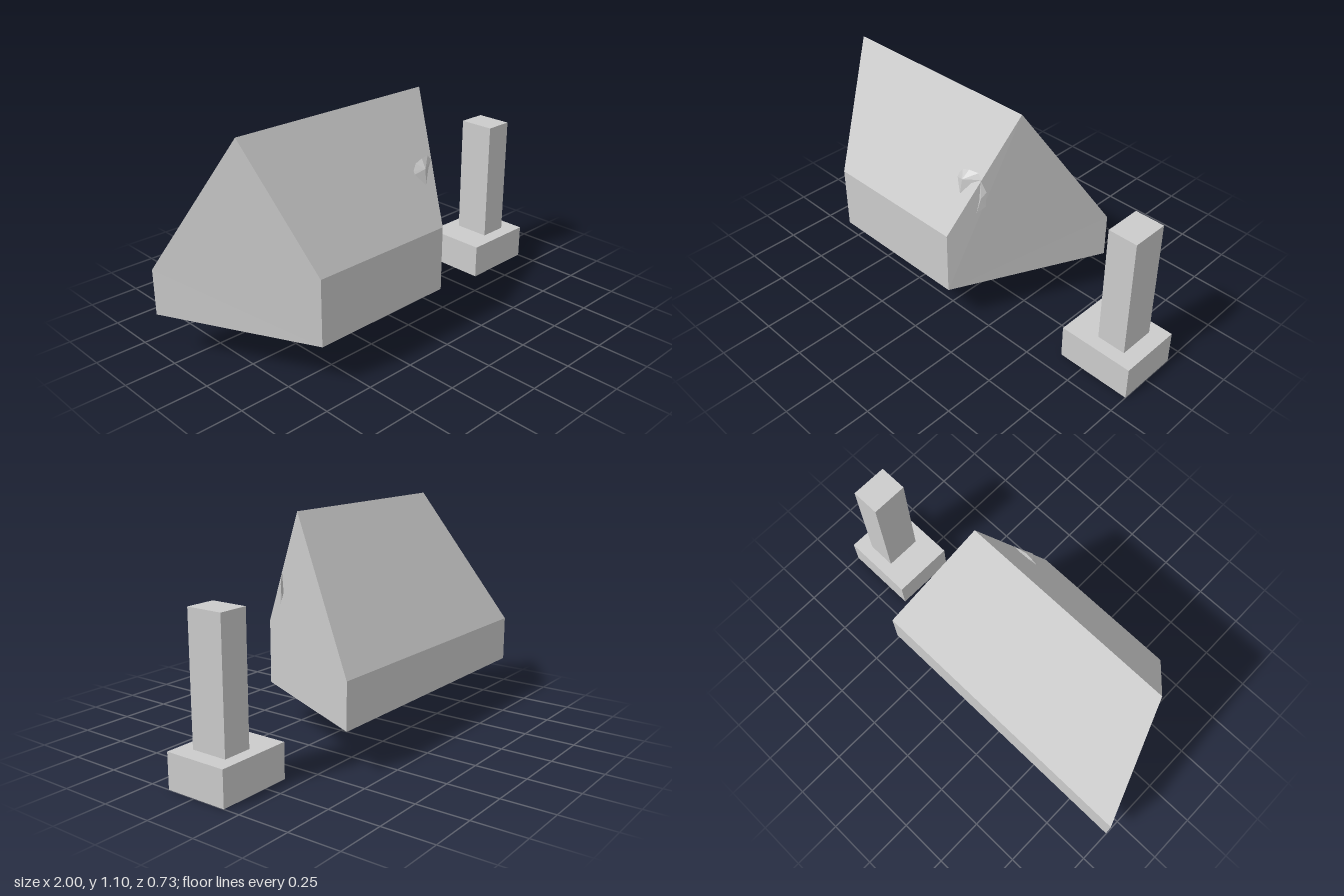
import * as THREE from 'three';

const material = new THREE.MeshStandardMaterial({ color: 0xcccccc, flatShading: true });
const thinMaterial = new THREE.MeshStandardMaterial({ color: 0xcccccc, flatShading: true, side: THREE.DoubleSide });

function addMesh(group, name, geometry, mat = material) {
  const mesh = new THREE.Mesh(geometry, mat);
  mesh.name = name;
  group.add(mesh);
  return mesh;
}

// Box given by its lowest and highest corners
function addBlock(group, name, min, max) {
  const size = max.map((v, i) => v - min[i]);
  const mesh = addMesh(group, name, new THREE.BoxGeometry(...size));
  mesh.position.set(...max.map((v, i) => (v + min[i]) / 2));
}

// Gabled body: a side profile extruded along x, then widened toward the back
function hutGeometry() {
  const ridgeZ = 0.053;
  const profile = [[0.365, 0.205], [-0.365, 0.205], [-0.365, 0.43], [ridgeZ, 1.1], [0.365, 0.525]];
  // Shape x stands for -z, so turning the extrusion aims its depth along +x
  const shape = new THREE.Shape(profile.map(([z, y]) => new THREE.Vector2(-z, y)));
  const geometry = new THREE.ExtrudeGeometry(shape, { depth: 1, bevelEnabled: false });
  geometry.rotateY(Math.PI / 2);
  const p = geometry.attributes.position;
  const between = (z, back, ridge, front) => z < ridgeZ
    ? THREE.MathUtils.mapLinear(z, -0.365, ridgeZ, back, ridge)
    : THREE.MathUtils.mapLinear(z, ridgeZ, 0.365, ridge, front);
  for (let i = 0; i < p.count; i++) {
    const z = p.getZ(i);
    const left = between(z, 0.445, 0.255, 0.097);
    const right = between(z, -1, -0.81, -0.65);
    p.setX(i, THREE.MathUtils.lerp(right, left, p.getX(i)));
  }
  geometry.computeVertexNormals();
  return geometry;
}

// Faceted flake: a ring, clockwise from the front, closed to a front and a back point
function flakeGeometry(ring, front, back) {
  const points = [];
  ring.forEach((a, i) => {
    const b = ring[(i + 1) % ring.length];
    points.push(...b, ...a, ...front, ...a, ...b, ...back);
  });
  const geometry = new THREE.BufferGeometry();
  geometry.setAttribute('position', new THREE.Float32BufferAttribute(points, 3));
  geometry.computeVertexNormals();
  return geometry;
}

export function createModel() {
  const model = new THREE.Group();
  model.name = 'hutAndPost';

  addMesh(model, 'hutBody', hutGeometry());

  // Curled ornament on the roof edge: a lobe on the roof and a hook beside the wall
  const ornament = new THREE.Group();
  ornament.name = 'roofOrnament';
  addMesh(ornament, 'roofLobe', flakeGeometry([
    [0.04, 0.78, 0.228], [0.06, 0.81, 0.222], [0.1, 0.825, 0.222], [0.15, 0.825, 0.212],
    [0.17, 0.8, 0.216], [0.13, 0.775, 0.238], [0.085, 0.71, 0.266], [0.04, 0.765, 0.236],
  ], [0.09, 0.785, 0.256], [0.11, 0.78, 0.21]), thinMaterial);
  addMesh(ornament, 'wallHook', flakeGeometry([
    [0.17, 0.8, 0.22], [0.195, 0.74, 0.208], [0.19, 0.66, 0.208], [0.163, 0.625, 0.24],
    [0.172, 0.7, 0.23],
  ], [0.18, 0.71, 0.228], [0.17, 0.71, 0.208]), thinMaterial);
  model.add(ornament);

  // Free-standing post on a plinth
  addBlock(model, 'postPlinth', [0.625, 0, -0.168], [1, 0.17, 0.148]);
  addBlock(model, 'postColumn', [0.775, 0.17, -0.105], [0.92, 0.78, 0.079]);

  return model;
}
